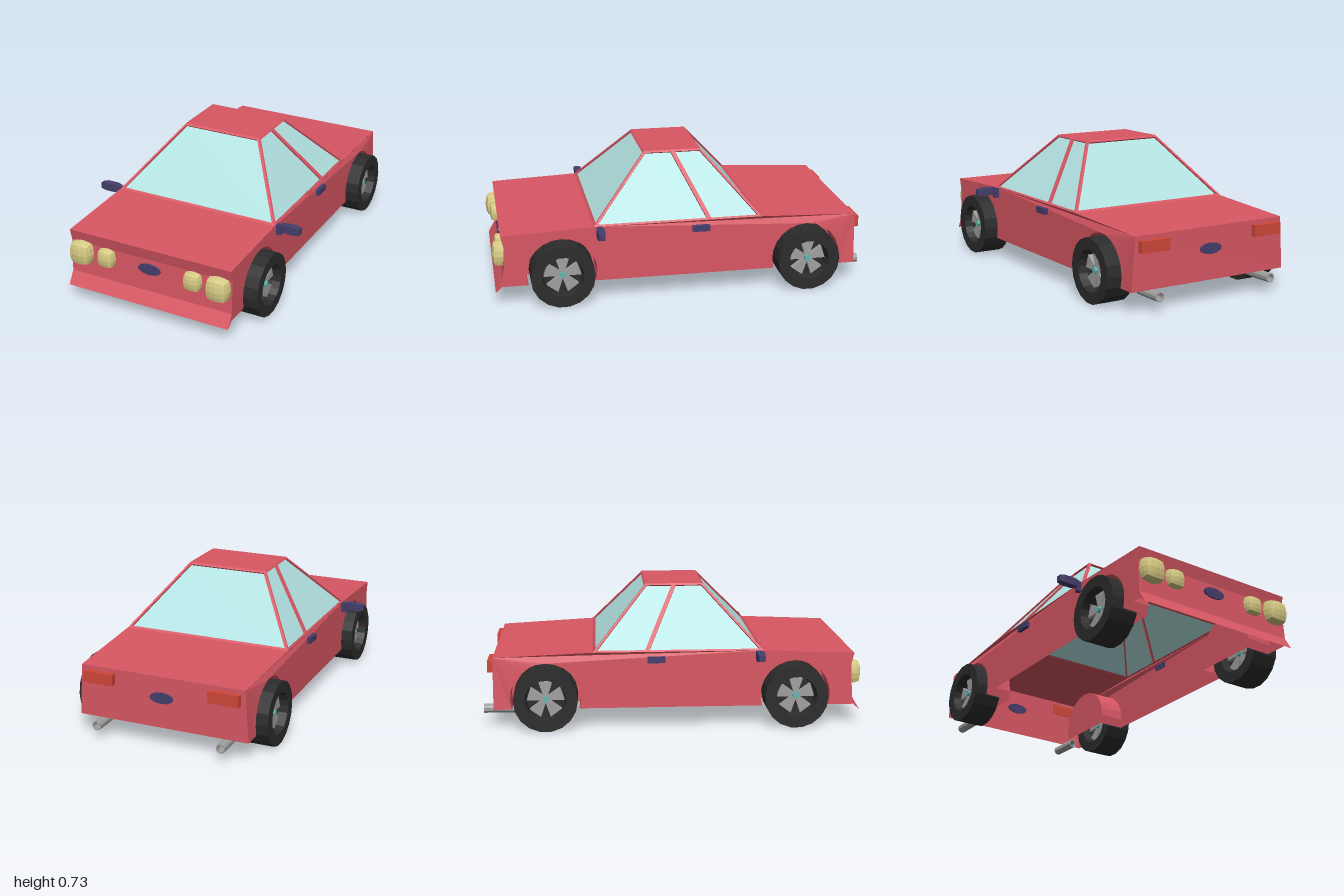
import * as THREE from 'three';

const V = (x, y, z) => new THREE.Vector3(x, y, z);
const mat = (color) => new THREE.MeshStandardMaterial({ color, flatShading: true, side: THREE.DoubleSide });
const red = mat(0xd85763), glass = mat(0xb2e2e1), rubber = mat(0x2c2c2c), grey = mat(0xa0a0a0),
  teal = mat(0x60b8b0), lamp = mat(0xd8cc84), navy = mat(0x443e6b), tail = mat(0xd0473a);

const HALF = 0.465, SILL = 0.112, WAIST = 0.41, ROOF = 0.73;
const ARCH_R = 0.185, WHEEL_Y = 0.17, AXLES = [0.645, -0.668];

function add(parent, name, geometry, material, x = 0, y = 0, z = 0) {
  const m = new THREE.Mesh(geometry, material);
  m.name = name;
  m.position.set(x, y, z);
  parent.add(m);
  return m;
}

// surface between two rows of points
function strip(a, b) {
  const pos = [], idx = [];
  a.forEach((p, i) => {
    pos.push(...p.toArray(), ...b[i].toArray());
    if (i) idx.push(2 * i - 2, 2 * i - 1, 2 * i, 2 * i - 1, 2 * i + 1, 2 * i);
  });
  const g = new THREE.BufferGeometry();
  g.setAttribute('position', new THREE.Float32BufferAttribute(pos, 3));
  g.setIndex(idx);
  g.computeVertexNormals();
  return g;
}

// flat outline in (z, y) placed at a given x
function sideSheet(points, xAt) {
  const g = new THREE.ShapeGeometry(new THREE.Shape(points.map(([z, y]) => new THREE.Vector2(z, y))));
  const p = g.attributes.position;
  for (let i = 0; i < p.count; i++) {
    const z = p.getX(i), y = p.getY(i);
    p.setXYZ(i, xAt(z, y), y, z);
  }
  g.computeVertexNormals();
  return g;
}

// wheel arch outline from front foot to rear foot
function archPoints(cz) {
  const dip = Math.asin((WHEEL_Y - SILL) / ARCH_R), n = 14;
  return Array.from({ length: n + 1 }, (_, i) => {
    const a = -dip + (Math.PI + 2 * dip) * i / n;
    return [cz + ARCH_R * Math.cos(a), WHEEL_Y + ARCH_R * Math.sin(a)];
  });
}

// window: painted border with a recessed pane
function windowPanel(parent, name, c, border = 0.013) {
  const normal = c[1].clone().sub(c[0]).cross(c[3].clone().sub(c[0])).normalize();
  const centre = c.reduce((s, p) => s.add(p), V(0, 0, 0)).divideScalar(4);
  if (normal.dot(V(0, 0.45, 0).sub(centre)) < 0) normal.negate();
  const inner = c.map((p, i) => {
    const d1 = c[(i + 1) % 4].clone().sub(p).normalize(), d2 = c[(i + 3) % 4].clone().sub(p).normalize();
    const s = border / Math.sin(d1.angleTo(d2));
    return p.clone().addScaledVector(d1, s).addScaledVector(d2, s);
  });
  const deep = inner.map((p) => p.clone().addScaledVector(normal, 0.01));
  const loop = (r) => [...r, r[0]];
  add(parent, name + 'Frame', strip(loop(c), loop(inner)), red);
  add(parent, name + 'Reveal', strip(loop(inner), loop(deep)), red);
  add(parent, name + 'Glass', strip([deep[0], deep[1]], [deep[3], deep[2]]), glass);
}

// box pushed part of the way to a ball
function softLamp(w, h, d) {
  const g = new THREE.BoxGeometry(1, 1, 1, 4, 4, 4), p = g.attributes.position, v = V(0, 0, 0);
  for (let i = 0; i < p.count; i++) {
    v.fromBufferAttribute(p, i);
    v.lerp(v.clone().setLength(0.5), 0.65);
    const k = 1.08;
    p.setXYZ(i, v.x * w * k, v.y * h * k, v.z * d * k);
  }
  g.computeVertexNormals();
  return g;
}

function makeWheel() {
  const wheel = new THREE.Group();
  wheel.name = 'wheel';
  const profile = [[0.1, -0.03], [0.108, -0.075], [0.168, -0.075], [0.168, 0.075], [0.108, 0.075], [0.1, 0.03], [0.1, -0.03]];
  const tyre = new THREE.LatheGeometry(profile.map(([r, h]) => new THREE.Vector2(r, h)), 18);
  add(wheel, 'tyre', tyre.rotateZ(Math.PI / 2), rubber);
  add(wheel, 'rimDisc', new THREE.CylinderGeometry(0.1, 0.1, 0.02, 18).rotateZ(Math.PI / 2), rubber);
  const outline = [[-0.012, 0.015], [0.012, 0.015], [0.036, 0.092], [-0.036, 0.092]];
  const shape = new THREE.Shape(outline.map(([x, y]) => new THREE.Vector2(x, y)));
  for (let i = 0; i < 5; i++) {
    const g = new THREE.ExtrudeGeometry(shape, { depth: 0.07, bevelEnabled: false });
    g.translate(0, 0, -0.035).rotateY(Math.PI / 2);
    add(wheel, 'spoke', g, grey).rotation.x = i * Math.PI * 2 / 5;
  }
  add(wheel, 'hub', new THREE.CylinderGeometry(0.016, 0.016, 0.1, 8).rotateZ(Math.PI / 2), teal);
  return wheel;
}

export function createModel() {
  const car = new THREE.Group();
  car.name = 'car';

  // body shell, open underneath
  const nose = [[0.99, 0.082], [0.95, 0.15], [0.94, 0.325], [0.955, 0.39], [0.475, WAIST]];
  const deck = [[-0.42, WAIST], [-0.94, 0.385], [-0.94, SILL]];
  const halfWidth = (z, y) => (z < -0.9 && y > 0.3 ? 0.447 : HALF);
  const across = (pts) => strip(...[-1, 1].map((s) => pts.map(([z, y]) => V(s * halfWidth(z, y), y, z))));
  add(car, 'noseAndBonnet', across(nose), red);
  add(car, 'bootAndTail', across(deck), red);
  const outline = [...nose, ...deck, ...archPoints(AXLES[1]).reverse(), ...archPoints(AXLES[0]).reverse(), [0.955, SILL]];
  for (const s of [-1, 1]) {
    add(car, 'bodySide', sideSheet(outline, (z, y) => s * halfWidth(z, y)), red);
    for (const cz of AXLES) {
      const pts = archPoints(cz), row = (x) => pts.map(([z, y]) => V(s * x, y, z));
      add(car, 'wheelArch', strip(row(HALF), row(0.32)), red);
      add(car, 'wheelArchCap', sideSheet(pts, () => s * 0.32), red);
    }
  }

  // cabin
  const base = (s, z) => V(s * HALF, WAIST, z), top = (s, z) => V(s * 0.222, ROOF, z);
  const [F, B, TF, TB] = [0.475, -0.42, 0.17, -0.135];
  add(car, 'roof', strip([top(-1, TF), top(1, TF)], [top(-1, TB), top(1, TB)]), red);
  windowPanel(car, 'windscreen', [base(-1, F), base(1, F), top(1, TF), top(-1, TF)]);
  windowPanel(car, 'rearWindow', [base(1, B), base(-1, B), top(-1, TB), top(1, TB)]);
  for (const s of [-1, 1]) {
    windowPanel(car, 'frontSideWindow', [base(s, F), base(s, -0.14), top(s, 0.02), top(s, TF)], 0.011);
    windowPanel(car, 'rearSideWindow', [base(s, -0.14), base(s, B), top(s, TB), top(s, 0.02)], 0.011);
  }

  // wheels
  for (const x of [-0.447, 0.459]) for (const z of AXLES) {
    const wheel = makeWheel();
    wheel.position.set(x, WHEEL_Y, z);
    car.add(wheel);
  }

  // mirror housing with pinched ends
  const mirror = new THREE.BoxGeometry(0.117, 0.042, 0.04, 4, 1, 1), mp = mirror.attributes.position;
  for (let i = 0; i < mp.count; i++) {
    const k = Math.abs(mp.getX(i)) > 0.05 ? 0.75 : 1;
    mp.setXYZ(i, mp.getX(i), mp.getY(i) * k, mp.getZ(i) * k);
  }

  // fittings on both sides
  const pipe = new THREE.LatheGeometry(
    [[0.019, -0.085], [0.025, -0.085], [0.025, 0.085], [0.019, 0.085], [0.019, -0.085]].map(([r, h]) => new THREE.Vector2(r, h)), 10);
  pipe.rotateX(Math.PI / 2);
  for (const s of [-1, 1]) {
    add(car, 'outerHeadlight', softLamp(0.12, 0.12, 0.1), lamp, s * 0.395, 0.276, 0.948);
    add(car, 'innerHeadlight', softLamp(0.093, 0.095, 0.08), lamp, s * 0.25, 0.276, 0.941);
    add(car, 'tailLight', new THREE.BoxGeometry(0.165, 0.06, 0.035), tail, s * 0.343, 0.333, -0.953);
    add(car, 'exhaust', pipe, grey, s * 0.342, 0.087, -0.915);
    add(car, 'doorHandle', new THREE.BoxGeometry(0.024, 0.032, 0.092), navy, s * 0.474, 0.37, -0.09);
    add(car, 'mirrorArm', new THREE.BoxGeometry(0.03, 0.055, 0.025), navy, s * 0.475, 0.382, 0.448);
    add(car, 'mirror', mirror, navy, s * 0.539, 0.396, 0.447);
  }

  // plain oval plates front and rear
  for (const z of [0.944, -0.942]) {
    const plate = new THREE.CylinderGeometry(0.064, 0.064, 0.018, 12).rotateX(Math.PI / 2);
    add(car, 'ovalPlate', plate, navy, 0, 0.274, z).scale.y = 0.45;
  }
  return car;
}
